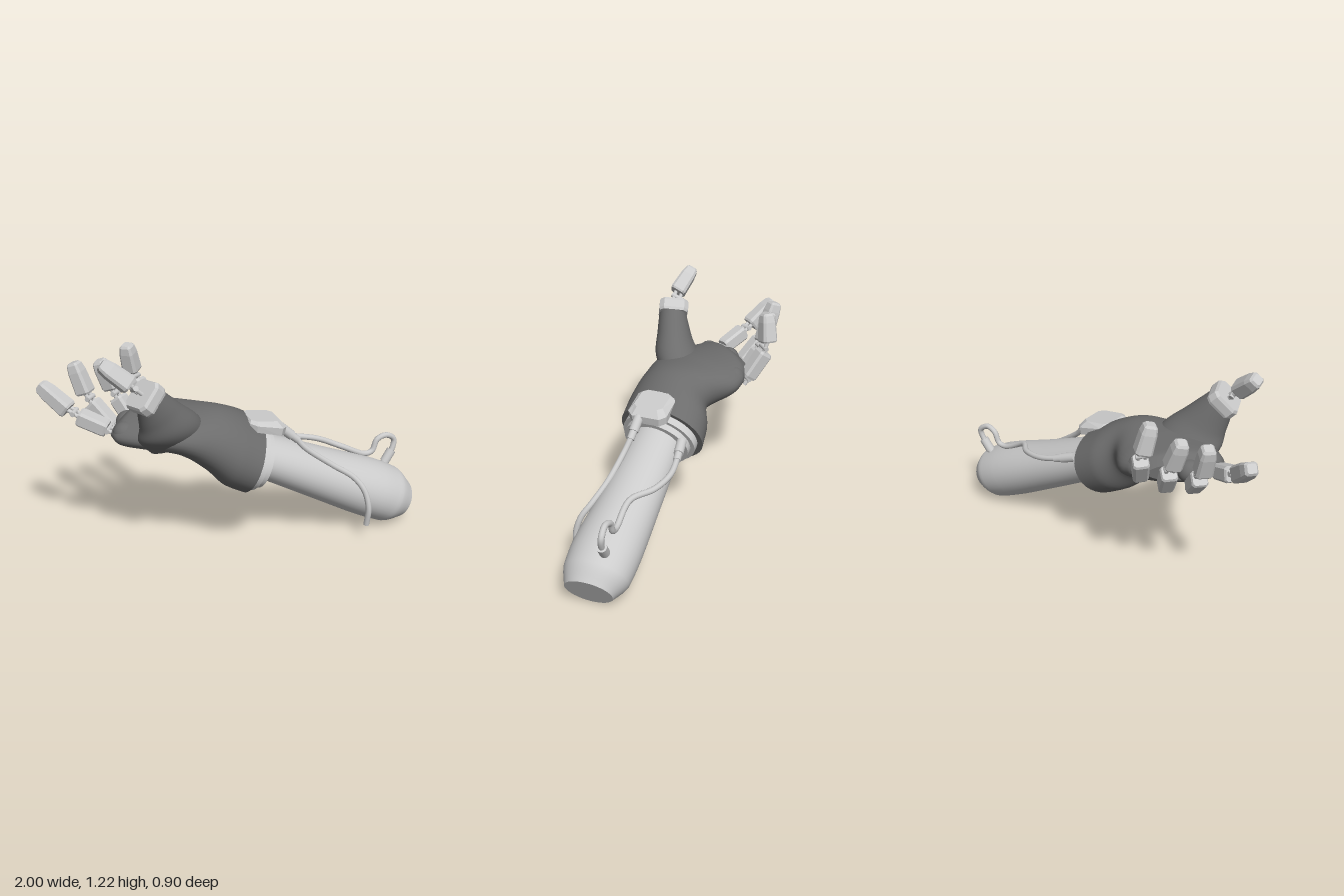
import * as THREE from 'three';

const V = (a) => new THREE.Vector3(...a);
const grey = new THREE.MeshStandardMaterial({ color: 0xcccccc });
const greyFlat = new THREE.MeshStandardMaterial({ color: 0xcccccc, flatShading: true });
const dark = new THREE.MeshStandardMaterial({ color: 0x6c6c6c });

const ROUND = Array.from({ length: 40 }, (_, i) => (i / 40) * Math.PI * 2);
// corner pairs of a chamfered square
const CHAMFER = [0, 1, 2, 3].flatMap((q) => [35, 55].map((a) => ((q * 90 + a) * Math.PI) / 180));

// Skin over cross-sections [centre, half width vector, half height vector]
function loft(sections, angles = ROUND, steps = 1) {
  const curves = [0, 1, 2].map((k) => new THREE.CatmullRomCurve3(sections.map((s) => V(s[k]))));
  const rings = (sections.length - 1) * steps;
  const pos = [], idx = [], n = angles.length;
  const at = (i) => curves.map((c) => c.getPoint(i / rings));
  const ring = (i) => {
    const [c, u, v] = at(i);
    const ahead = at(Math.min(i + 1, rings))[0].sub(at(Math.max(i - 1, 0))[0]);
    if (u.clone().cross(v).dot(ahead) < 0) v.negate();
    const start = pos.length / 3;
    for (const a of angles) {
      pos.push(...c.clone().addScaledVector(u, Math.cos(a)).addScaledVector(v, Math.sin(a)).toArray());
    }
    return start;
  };
  for (let i = 0; i <= rings; i++) ring(i);
  for (let i = 0; i < rings; i++) {
    for (let j = 0; j < n; j++) {
      const a = i * n + j, b = i * n + ((j + 1) % n);
      idx.push(a, b, a + n, b, b + n, a + n);
    }
  }
  // flat end caps
  for (const i of [0, rings]) {
    const s = ring(i), c = pos.length / 3;
    pos.push(...at(i)[0].toArray());
    for (let j = 0; j < n; j++) {
      const a = s + j, b = s + ((j + 1) % n);
      idx.push(c, ...(i ? [a, b] : [b, a]));
    }
  }
  const g = new THREE.BufferGeometry();
  g.setAttribute('position', new THREE.Float32BufferAttribute(pos, 3));
  g.setIndex(idx);
  g.computeVertexNormals();
  return g;
}

function add(parent, name, geometry, material = grey) {
  const m = new THREE.Mesh(geometry, material);
  m.name = name;
  parent.add(m);
  return m;
}

// Cylinder between two points
function rod(parent, name, a, b, r) {
  const d = b.clone().sub(a);
  const m = add(parent, name, new THREE.CylinderGeometry(r, r, d.length(), 16));
  m.position.copy(a).addScaledVector(d, 0.5);
  m.quaternion.setFromUnitVectors(V([0, 1, 0]), d.normalize());
}

// Straight chamfered part from a to b; profile rows are [fraction along, scale]
function segment(parent, name, a, b, side, r, profile) {
  const d = b.clone().sub(a).normalize();
  const w = side.clone().addScaledVector(d, -side.dot(d)).normalize();
  const h = d.clone().cross(w);
  const rows = profile.map(([t, s]) => [
    a.clone().lerp(b, t).toArray(),
    w.clone().multiplyScalar(r * s).toArray(),
    h.clone().multiplyScalar(r * s).toArray(),
  ]);
  add(parent, name, loft(rows, CHAMFER), greyFlat);
  return w;
}

const TIP = [[0, 0.95], [0.06, 1.08], [0.7, 0.98], [0.93, 0.82], [1, 0.58]];
const LINK = [[0, 0.9], [0.08, 1], [0.92, 1.05], [1, 0.9]];

// Twin bars and a hinge pin bridging two finger parts
function hinge(parent, a, b, w) {
  for (const s of [-0.018, 0.018]) {
    rod(parent, 'hingeBar', a.clone().addScaledVector(w, s), b.clone().addScaledVector(w, s), 0.011);
  }
  const mid = a.clone().lerp(b, 0.5);
  rod(parent, 'hingePin', mid.clone().addScaledVector(w, -0.034), mid.clone().addScaledVector(w, 0.034), 0.014);
}

function finger(parent, name, base, mid, tip) {
  const f = new THREE.Group();
  f.name = name;
  parent.add(f);
  const [a, b, c] = [base, mid, tip].map(V);
  const side = V([0.78, 0, -0.62]);
  const p0 = a.clone().lerp(b, 0.18), p1 = a.clone().lerp(b, 0.87);
  const q0 = b.clone().lerp(c, 0.14);
  const w = segment(f, 'lowerLink', p0, p1, side, 0.049, LINK);
  segment(f, 'fingertip', q0, c, side, 0.05, TIP);
  hinge(f, a, p0.clone().lerp(p1, 0.2), w);
  hinge(f, p0.clone().lerp(p1, 0.75), q0.clone().lerp(c, 0.2), w);
}

function cable(parent, name, points) {
  const curve = new THREE.CatmullRomCurve3(points.map(V));
  add(parent, name, new THREE.TubeGeometry(curve, 90, 0.0165, 10));
}

function plug(parent, a, b) {
  const [p, q] = [V(a), V(b)];
  rod(parent, 'plugBody', p, p.clone().lerp(q, 0.65), 0.027);
  rod(parent, 'plugNeck', p.clone().lerp(q, 0.65), q, 0.021);
}

export function createModel() {
  const model = new THREE.Group();
  model.name = 'mechanicalArm';

  // Forearm stump, widening towards the elbow
  add(model, 'forearm', loft([
    [[0, 0.555, 0.1], [-0.02, 0, 0.145], [0.055, 0.105, 0]],
    [[0.105, 0.51, 0.122], [-0.02, 0, 0.148], [0.058, 0.108, 0]],
    [[0.42, 0.36, 0.175], [-0.022, 0, 0.165], [0.07, 0.126, 0]],
    [[0.74, 0.21, 0.232], [-0.025, 0, 0.185], [0.08, 0.146, 0]],
    [[0.86, 0.15, 0.25], [-0.025, 0, 0.177], [0.077, 0.142, 0]],
    [[0.945, 0.108, 0.267], [-0.015, 0, 0.13], [0.055, 0.1, 0]],
  ], ROUND, 6));

  // Glove: cuff, wrist, palm, knuckles
  add(model, 'glovePalm', loft([
    [[0.022, 0.535, 0.113], [-0.072, 0, 0.247], [0.075, 0.18, 0]],
    [[-0.08, 0.595, 0.102], [-0.07, 0, 0.24], [0.07, 0.185, 0]],
    [[-0.2, 0.68, 0.09], [-0.075, 0, 0.207], [0.05, 0.158, 0]],
    [[-0.33, 0.73, 0], [-0.11, 0.01, 0.245], [0.03, 0.115, 0]],
    [[-0.45, 0.745, -0.08], [-0.155, 0, 0.205], [0.02, 0.1, 0]],
    [[-0.525, 0.75, -0.135], [-0.18, -0.01, 0.15], [0, 0.09, 0]],
    [[-0.56, 0.75, -0.175], [-0.15, -0.01, 0.12], [0, 0.05, 0]],
  ], ROUND, 7), dark);
  // Thumb sleeve, broad at its root to form the web
  add(model, 'gloveThumb', loft([
    [[-0.38, 0.67, 0.08], [0.16, 0.02, 0], [0, 0.03, 0.11]],
    [[-0.45, 0.775, 0.115], [0.17, 0.04, 0], [-0.01, 0.02, 0.14]],
    [[-0.525, 0.885, 0.16], [0.11, 0.055, 0], [-0.01, 0.01, 0.105]],
    [[-0.605, 1.005, 0.19], [0.053, 0.058, 0], [-0.01, 0.01, 0.08]],
  ], ROUND, 7), dark);

  // Cuff rings stepping down to the forearm
  const cuffBand = (name, from, to, s) => add(model, name, loft([from, to].map((t) => [
    [0.022 + 0.88 * t, 0.535 - 0.4 * t, 0.113 + 0.2 * t],
    [-0.07 * s, 0, 0.24 * s], [0.075 * s, 0.18 * s, 0],
  ])));
  cuffBand('cuffOuterRing', -0.02, 0.042, 0.9);
  cuffBand('cuffInnerRing', 0.03, 0.078, 0.8);

  // Plate clipped over the cuff, bevelled towards its top
  add(model, 'cuffPlate', loft([
    [[0.08, 0.695, 0.145], [0.122, -0.035, 0.018], [-0.02, 0, 0.13]],
    [[0.085, 0.735, 0.147], [0.126, -0.03, 0.018], [-0.02, 0, 0.134]],
    [[0.075, 0.762, 0.148], [0.1, -0.014, 0.014], [-0.015, 0, 0.1]],
  ], CHAMFER), greyFlat);

  // Four fingers, each from a padded knuckle
  const fingers = [
    ['indexFinger', [-0.68, 0.745, -0.07], [-0.85, 0.83, -0.21], [-0.975, 0.97, -0.345]],
    ['middleFinger', [-0.61, 0.68, -0.2], [-0.72, 0.85, -0.335], [-0.77, 1.045, -0.385]],
    ['ringFinger', [-0.48, 0.655, -0.235], [-0.56, 0.85, -0.35], [-0.63, 1.035, -0.375]],
    ['littleFinger', [-0.36, 0.7, -0.275], [-0.425, 0.91, -0.4], [-0.465, 1.095, -0.38]],
  ];
  for (const [name, base, mid, tip] of fingers) {
    finger(model, name, base, mid, tip);
    const k = add(model, 'knucklePad', new THREE.SphereGeometry(0.062, 24, 16), dark);
    k.position.set(base[0] + 0.035, 0.75, base[2] + 0.05);
  }

  // Thumb: chamfered collar, hinge and tip
  const thumb = new THREE.Group();
  thumb.name = 'thumb';
  model.add(thumb);
  const side = V([0.15, 0.15, 0.95]);
  segment(thumb, 'thumbCollar', V([-0.588, 0.988, 0.187]), V([-0.64, 1.04, 0.193]), side, 0.102,
    [[0, 0.95], [0.2, 1], [0.8, 1], [1, 0.9]]);
  const t0 = V([-0.69, 1.09, 0.185]), t1 = V([-0.81, 1.2, 0.118]);
  const tw = segment(thumb, 'thumbTip', t0, t1, side, 0.051, TIP);
  hinge(thumb, V([-0.62, 1.02, 0.19]), t0.clone().lerp(t1, 0.2), tw);

  // Cables with plugs
  cable(model, 'frontCable', [
    [0.2, 0.665, 0.212], [0.25, 0.62, 0.222], [0.3, 0.56, 0.245], [0.44, 0.45, 0.3], [0.55, 0.37, 0.36],
    [0.59, 0.3, 0.41], [0.605, 0.2, 0.437], [0.605, 0.09, 0.425],
  ]);
  plug(model, [0.16, 0.7, 0.2], [0.26, 0.61, 0.224]);
  cable(model, 'backCable', [
    [0.2, 0.565, -0.035], [0.28, 0.535, -0.035], [0.4, 0.505, -0.025], [0.52, 0.485, 0.03], [0.61, 0.46, 0.135],
    [0.76, 0.39, 0.165], [0.81, 0.4, 0.17], [0.84, 0.465, 0.172], [0.895, 0.485, 0.182],
    [0.95, 0.45, 0.185], [0.94, 0.395, 0.19], [0.9, 0.34, 0.19],
  ]);
  plug(model, [0.16, 0.575, -0.033], [0.29, 0.53, -0.035]);
  plug(model, [0.935, 0.385, 0.19], [0.865, 0.285, 0.19]);
  return model;
}
